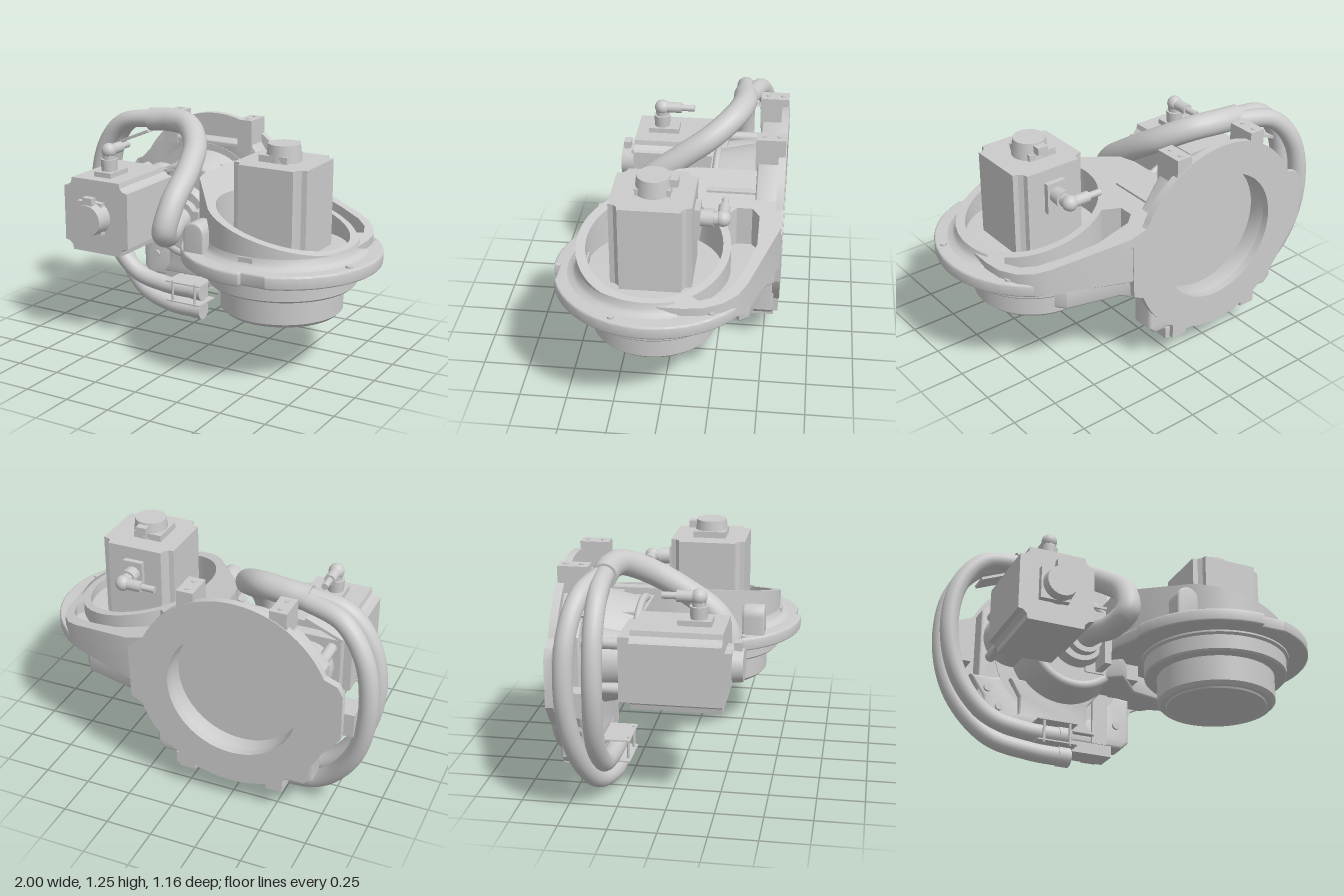
import * as THREE from 'three';
import { toCreasedNormals } from 'three/addons/utils/BufferGeometryUtils.js';

const mat = new THREE.MeshStandardMaterial({ color: 0xcccccc, side: THREE.DoubleSide });
const V = (x, y, z) => new THREE.Vector3(x, y, z);
const HUB = [-0.265, 0.67], RING = [0.48, 0.06];

export function createModel() {
  const root = new THREE.Group();
  const add = (name, geo, pos = [0, 0, 0], parent = root) => {
    const m = new THREE.Mesh(geo, mat);
    m.name = name;
    m.position.set(...pos);
    parent.add(m);
    return m;
  };
  // box given by its extents
  const box = (name, x0, x1, y0, y1, z0, z1, parent) =>
    add(name, new THREE.BoxGeometry(x1 - x0, y1 - y0, z1 - z0), [(x0 + x1) / 2, (y0 + y1) / 2, (z0 + z1) / 2], parent);
  const cyl = (name, r0, r1, len, pos, axis = 'y', parent = root, sides = 40) => {
    const m = add(name, new THREE.CylinderGeometry(r1, r0, len, sides), pos, parent);
    if (axis === 'z') m.rotation.x = Math.PI / 2;
    if (axis === 'x') m.rotation.z = -Math.PI / 2;
    return m;
  };
  const arc = (c, r, a0, a1, n = 32) => Array.from({ length: n + 1 }, (_, i) => {
    const a = THREE.MathUtils.degToRad(a0 + (a1 - a0) * i / n);
    return [c[0] + r * Math.cos(a), c[1] + r * Math.sin(a)];
  });
  const circle = (c, r, n = 56) => arc(c, r, 0, 360, n).slice(0, n);
  const path = (pts, C = THREE.Shape) => new C(pts.map(p => new THREE.Vector2(...p)));
  const slab = (outline, holes, depth, bevel = 0) => {
    const s = path(outline);
    s.holes = holes.map(h => path(h, THREE.Path));
    return new THREE.ExtrudeGeometry(s, {
      depth: depth - 2 * bevel, bevelEnabled: bevel > 0, bevelSize: bevel, bevelOffset: -bevel,
      bevelThickness: bevel, bevelSegments: 3,
    }).translate(0, 0, bevel);
  };
  const crease = g => toCreasedNormals(g, 0.6);
  // plan outline (x, -z) raised in y, optionally with a sloped top
  const plan = (name, outline, holes, y0, y1, bevel = 0, top) => {
    const g = slab(outline, holes, y1 - y0, bevel).rotateX(-Math.PI / 2).translate(0, y0, 0);
    const p = g.attributes.position;
    if (top) for (let i = 0; i < p.count; i++) if (p.getY(i) > (y0 + y1) / 2) p.setY(i, top(p.getX(i)));
    return add(name, crease(g));
  };

  // Thin round mounting plate with ears, cast body in front, blind recess open to the back
  const plate = [...arc(HUB, 0.535, 25, 155, 48), [-0.82, 0.87], [-0.85, 0.82], [-0.85, 0.57], [-0.8, 0.5],
    ...arc(HUB, 0.535, 205, 340, 48), [0.3, 0.52], [0.31, 0.82]];
  add('mountingPlate', crease(slab(plate, [circle(HUB, 0.355)], 0.04)), [0, 0, -0.58]);
  const cast = [[0.13, 0.24], [0.15, 0.9], [0.03, 1.07], [-0.56, 1.07], [-0.73, 0.9], [-0.73, 0.4], [-0.6, 0.24]];
  add('plateBody', crease(slab(cast, [circle(HUB, 0.355)], 0.12, 0.01)), [0, 0, -0.55]);
  cyl('recessFloor', 0.38, 0.38, 0.02, [...HUB, -0.435], 'z', root, 56);
  const skirt = [[-0.66, 0.2], [0.13, 0.2], [0.17, 0.24], [0.17, 0.5], ...arc(HUB, 0.375, -25, -155), [-0.64, 0.5],
    [-0.78, 0.5], [-0.7, 0.38], [-0.7, 0.24]];
  add('lowerSkirt', crease(slab(skirt, [], 0.13, 0.015)), [0, 0, -0.55]);

  // Fixing lugs with screw holes, top and bottom
  for (const x of [-0.505, -0.015]) {
    box('upperLug', x - 0.045, x + 0.045, 1.03, 1.21, -0.575, -0.42);
    box('lowerLug', x - 0.045, x + 0.045, 0.14, 0.3, -0.575, -0.42);
    for (const z of [-0.46, -0.54]) {
      cyl('upperLugScrew', 0.012, 0.012, 0.006, [x, 1.212, z], 'y', root, 12);
      cyl('lowerLugScrew', 0.012, 0.012, 0.006, [x, 0.139, z], 'y', root, 12);
    }
  }
  box('skirtRib', -0.06, 0.03, 0.2, 0.52, -0.44, -0.405);
  for (const [x, y] of [[-0.61, 0.33], [0.09, 0.33], [-0.68, 0.43]]) cyl('skirtBolt', 0.022, 0.022, 0.02, [x, y, -0.415], 'z', root, 16);

  // Central gear housing with a collar, and the cast lobe below it
  cyl('gearHousing', 0.31, 0.26, 0.24, [-0.25, 0.7, -0.31], 'z', root, 56);
  const collar = add('housingCollar', new THREE.TorusGeometry(0.26, 0.025, 12, 56), [-0.25, 0.7, -0.2]);
  collar.scale.z = 0.8;
  cyl('housingCap', 0.16, 0.14, 0.06, [-0.25, 0.7, -0.16], 'z');
  const lobe = [[-0.55, 0.24], [-0.05, 0.24], [-0.1, 0.3], [-0.1, 0.4], [-0.02, 0.5], [-0.56, 0.5], [-0.5, 0.4], [-0.5, 0.3]];
  add('castLobe', crease(slab(lobe, [], 0.05, 0.012)), [0, 0, -0.44]);
  box('sideBracket', -0.89, -0.8, 0.54, 0.67, -0.5, -0.36);
  box('housingBlock', -0.2, 0.12, 0.52, 0.9, -0.44, -0.18);
  box('shelf', -0.4, 0.1, 0.92, 0.935, -0.43, -0.17);
  box('shelfClip', -0.17, -0.06, 0.935, 0.96, -0.39, -0.33);
  const strap = box('hoseStrap', -0.79, -0.58, 1.06, 1.075, -0.42, -0.3);
  strap.rotation.z = 0.4;

  // Arm: cup wall and pocket wall under a sloped rim
  const P = [RING[0], -RING[1]];
  const rim = x => 0.825 - 0.26 * (x - RING[0]);
  const wall = [[0.11, 0.575], [0.11, 0.43], [-0.08, 0.43], [-0.08, 0.1], [-0.06, 0.0], ...arc(P, 0.4, 222, 365, 40),
    [0.88, 0.12], [0.87, 0.22], [0.83, 0.32], [0.77, 0.39], [0.7, 0.43], [0.32, 0.575]];
  const pocket = [[0.2, 0.34], ...arc(P, 0.39, 122, 35, 20), [0.825, 0.2], [0.79, 0.29], [0.73, 0.35], [0.6, 0.41],
    [0.44, 0.46], [0.25, 0.46], [0.2, 0.42]];
  plan('armWall', wall, [circle(P, 0.35), pocket], 0.62, 0.92, 0, rim);
  // fillet where the wall meets the flange
  const fillet = [[0.398, 0.74], [0.405, 0.71], [0.42, 0.69], [0.45, 0.679]].map(p => new THREE.Vector2(...p));
  add('wallFillet', new THREE.LatheGeometry(fillet, 56, -Math.PI * 0.24, Math.PI * 0.86), [RING[0], 0, RING[1]]);
  // flange with a locating notch at the front
  const F = [0.47, -0.05];
  const flange = [[0.11, 0.575], [0.11, 0.43], [-0.09, 0.43], [-0.1, 0.02], [-0.04, -0.14], ...arc(F, 0.53, 195, 273, 32),
    [0.5, -0.55], [0.62, -0.55], ...arc(F, 0.53, 288, 415, 48), [0.32, 0.575]];
  plan('armFlange', flange, [], 0.61, 0.68, 0.01);
  const armRoot = [[0.11, 0.55], [0.11, 0.43], [-0.1, 0.43], [-0.1, 0.2], [0.0, 0.12], [0.15, 0.3], [0.4, 0.36], [0.62, 0.36],
    [0.66, 0.39], [0.62, 0.44], [0.34, 0.51], [0.3, 0.55]];
  plan('armRoot', armRoot, [], 0.5, 0.62, 0.015);
  box('rimNotchBlock', 0.44, 0.52, 0.67, 0.73, 0.4, 0.47);
  for (const a of [-40, 20, 150, 215]) {
    const [x, z] = arc([0.47, 0.05], 0.49, a, a, 1)[0];
    cyl('flangeBolt', 0.018, 0.018, 0.012, [x, 0.684, z], 'y', root, 16);
  }
  // arched boss on the front of the cup
  add('archBoss', crease(slab([[0.08, 0.66], [0.2, 0.66], ...arc([0.14, 0.78], 0.06, 0, 180, 16)], [], 0.12, 0.01)), [0, 0, 0.285]);

  // Output stage beneath the arm
  const drum = [[0, 0.335], [0.27, 0.335], [0.275, 0.345], [0.28, 0.345], [0.285, 0.34], [0.305, 0.34], [0.325, 0.36], [0.325, 0.5],
    [0.385, 0.5], [0.395, 0.51], [0.395, 0.59], [0.41, 0.6], [0.41, 0.62]].map(p => new THREE.Vector2(...p));
  add('outputDrum', crease(new THREE.LatheGeometry(drum, 72)), [RING[0], 0, RING[1]]);

  // Servo motor built along +y with its side connector on -z
  const motor = (name, len, plugUp) => {
    const g = new THREE.Group();
    g.name = name;
    const q = [[0.207, 0.155], [0.18, 0.16], [0.16, 0.18], [0.155, 0.207]];
    const out = [];
    for (let k = 0; k < 4; k++) for (const [x, y] of q) {
      const a = k * Math.PI / 2;
      out.push([x * Math.cos(a) - y * Math.sin(a), x * Math.sin(a) + y * Math.cos(a)]);
    }
    add('motorBody', slab(out, [], len).rotateX(-Math.PI / 2), [0, 0, 0], g);
    box('capBase', -0.1, 0.06, len, len + 0.035, -0.09, 0.09, g);
    cyl('encoderCap', 0.095, 0.085, 0.09, [0, len + 0.045, 0], 'y', g, 20);
    box('capClip', -0.03, 0.03, len + 0.04, len + 0.08, -0.125, -0.07, g);
    const y = len - 0.14;
    box('connectorPad', -0.055, 0.055, y - 0.1, y + 0.07, -0.235, -0.2, g);
    cyl('connectorStem', 0.047, 0.043, 0.07, [0, y, -0.265], 'z', g, 20);
    cyl('connectorNut', 0.036, 0.036, 0.04, [0, y, -0.315], 'z', g, 8);
    add('connectorElbow', new THREE.SphereGeometry(0.042, 20, 14), [0, y, -0.345], g);
    for (const [part, r, d] of [['connectorPlug', 0.03, 0.065], ['connectorTip', 0.018, 0.14]])
      cyl(part, r, r, 0.09, plugUp ? [0, y - d, -0.345] : [-d, y, -0.345], plugUp ? 'y' : 'x', g, 20);
    root.add(g);
    return g;
  };
  motor('armMotor', 0.46, false).position.set(RING[0], 0.68, RING[1]);
  const side = motor('sideMotor', 0.46, true);
  side.rotation.x = Math.PI / 2;
  side.position.set(-0.555, 0.74, -0.18);

  // Motor adapter and standoffs
  box('motorAdapter', -0.72, -0.39, 0.57, 0.91, -0.24, -0.17);
  cyl('motorNose', 0.16, 0.13, 0.22, [-0.555, 0.74, -0.32], 'z');
  for (const x of [-0.67, -0.43]) for (const y of [0.62, 0.86]) cyl('standoff', 0.03, 0.03, 0.24, [x, y, -0.32], 'z', root, 16);

  // Hoses
  const hose = (name, r, pts) => {
    const c = new THREE.CatmullRomCurve3(pts.map(p => V(...p)));
    add(name, new THREE.TubeGeometry(c, 80, r, 20));
    [0, 1].forEach(t => {
      const cap = add(name + 'End', new THREE.CircleGeometry(r, 20), c.getPoint(t).toArray());
      cap.lookAt(c.getPoint(t).add(c.getTangent(t).multiplyScalar(t ? 1 : -1)));
    });
  };
  hose('upperHose', 0.05, [[-0.23, 0.175, -0.33], [-0.5, 0.18, -0.33], [-0.7, 0.23, -0.33], [-0.87, 0.42, -0.33], [-0.945, 0.7, -0.32],
    [-0.9, 0.98, -0.32], [-0.77, 1.14, -0.32], [-0.55, 1.185, -0.33]]);
  hose('lowerHose', 0.05, [[-0.23, 0.06, -0.33], [-0.45, 0.065, -0.33], [-0.68, 0.13, -0.37], [-0.87, 0.36, -0.43], [-0.945, 0.66, -0.46],
    [-0.91, 0.96, -0.45], [-0.78, 1.13, -0.41], [-0.55, 1.175, -0.35]]);
  hose('mainHose', 0.067, [[-0.58, 1.175, -0.33], [-0.45, 1.185, -0.33], [-0.31, 1.175, -0.29], [-0.19, 1.1, -0.17], [-0.135, 0.99, 0.0],
    [-0.125, 0.85, 0.18], [-0.14, 0.71, 0.24], [-0.18, 0.66, 0.14], [-0.22, 0.68, 0], [-0.24, 0.69, -0.14]]);
  cyl('hoseSocket', 0.1, 0.1, 0.06, [-0.24, 0.69, -0.11], 'z', root, 24);
  box('socketBracket', -0.14, -0.1, 0.53, 0.75, -0.2, -0.05);

  // Hose clamp under the body
  for (const y of [0.11, 0.228]) box('clampPlate', -0.44, -0.21, y, y + 0.008, -0.42, -0.245);
  for (const z of [-0.4, -0.26]) for (const x of [-0.4, -0.25]) cyl('clampBolt', 0.008, 0.008, 0.14, [x, 0.172, z], 'y', root, 10);
  box('clampFoot', -0.18, 0.06, 0.135, 0.2, -0.55, -0.41);
  for (const y of [0.06, 0.175]) cyl('hoseCollar', 0.054, 0.054, 0.07, [-0.265, y, -0.33], 'x', root, 20);

  return root;
}
